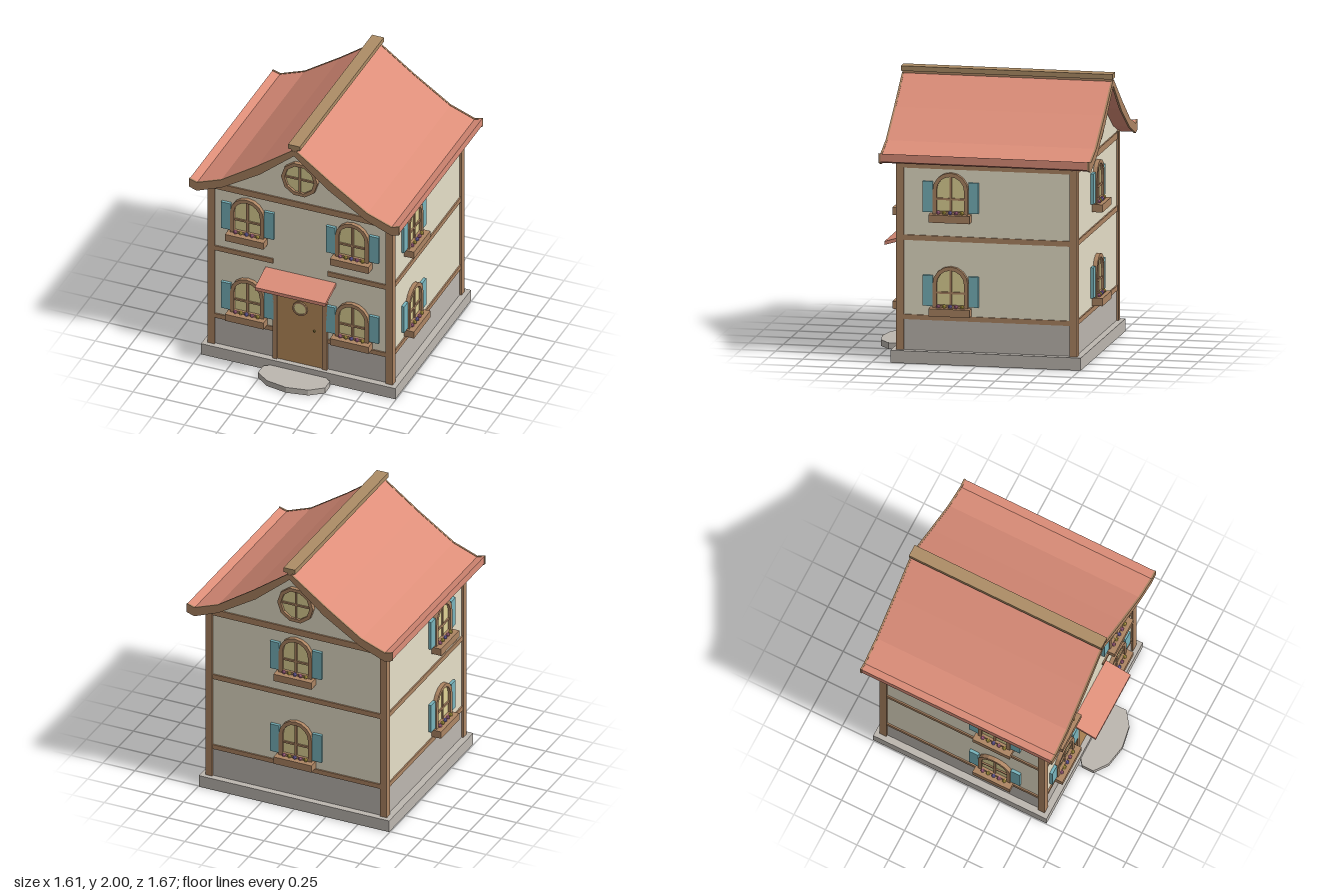
import * as THREE from 'three';

const mat = (color) => new THREE.MeshStandardMaterial({ color, flatShading: true });
const M = {
  plaster: mat(0xe6dfc8), timber: mat(0xad8563), stone: mat(0xbdb7b0), roof: mat(0xdd8e79),
  ridge: mat(0xad8d66), shutter: mat(0x78b4bc), door: mat(0xb98c5a), glass: mat(0xe0d396),
  metal: mat(0x8a7a40), pink: mat(0xc878a0), yellow: mat(0xd0b850), violet: mat(0x8878c8),
};
const HX = 0.695, HZ = 0.64, CZ = -0.07; // wall half sizes and house centre

function add(parent, name, geo, material, x = 0, y = 0, z = 0) {
  const m = new THREE.Mesh(geo, material);
  m.name = name;
  m.position.set(x, y, z);
  parent.add(m);
  return m;
}

// box given by its limits
function box(parent, name, material, x0, x1, y0, y1, z0, z1) {
  return add(parent, name, new THREE.BoxGeometry(x1 - x0, y1 - y0, z1 - z0), material,
    (x0 + x1) / 2, (y0 + y1) / 2, (z0 + z1) / 2);
}

const toShape = (pts) => new THREE.Shape(pts.map(([x, y]) => new THREE.Vector2(x, y)));

function extrude(pts, depth, holePts) {
  const s = toShape(pts);
  if (holePts) s.holes.push(toShape(holePts));
  return new THREE.ExtrudeGeometry(s, { depth, bevelEnabled: false });
}

// outline of an arched opening, sill at y = 0, arch springing at y = spring
function archPts(r, y0, spring, n = 8) {
  const p = [[-r, y0], [r, y0]];
  for (let i = 0; i <= n; i++) {
    const a = (i / n) * Math.PI;
    p.push([r * Math.cos(a), spring + r * Math.sin(a)]);
  }
  return p;
}

function ngon(r, n) {
  return Array.from({ length: n }, (_, i) => {
    const a = (i / n) * Math.PI * 2;
    return [r * Math.cos(a), r * Math.sin(a)];
  });
}

// arched window with shutters and flower box; wall plane is z = 0
function archedWindow() {
  const g = new THREE.Group();
  g.name = 'window';
  add(g, 'windowFrame', extrude(archPts(0.128, 0, 0.17), 0.03, archPts(0.1, 0.02, 0.17)), M.timber);
  add(g, 'windowPane', extrude(archPts(0.102, 0.01, 0.17), 0.01), M.glass);
  box(g, 'mullion', M.timber, -0.008, 0.008, 0.01, 0.27, 0, 0.02);
  box(g, 'crossbar', M.timber, -0.1, 0.1, 0.1, 0.115, 0, 0.02);
  for (const s of [-1, 1]) box(g, 'shutter', M.shutter, s * 0.165 - 0.036, s * 0.165 + 0.036, 0.01, 0.23, 0, 0.022);
  box(g, 'flowerBox', M.timber, -0.148, 0.148, -0.055, 0, 0, 0.075);
  [M.pink, M.yellow, M.violet, M.pink, M.yellow].forEach((m, i) =>
    add(g, 'flower', new THREE.IcosahedronGeometry(0.016, 0), m, (i - 2) * 0.043, 0.012, 0.036));
  return g;
}

// ring window with a pane; optional cross bars
function roundWindow(rOut, rIn, n, depth, bars) {
  const g = new THREE.Group();
  g.name = 'roundWindow';
  add(g, 'roundFrame', extrude(ngon(rOut, n), depth, ngon(rIn, n)), M.timber);
  add(g, 'roundPane', extrude(ngon(rIn + 0.003, n), depth * 0.4), M.glass);
  if (bars) {
    box(g, 'roundMullion', M.timber, -0.007, 0.007, -rIn, rIn, 0, depth * 0.7);
    box(g, 'roundCrossbar', M.timber, -rIn, rIn, -0.007, 0.007, 0, depth * 0.7);
  }
  return g;
}

function place(parent, g, x, y, z, rotY = 0) {
  g.position.set(x, y, z);
  g.rotation.y = rotY;
  parent.add(g);
}

export function createModel() {
  const house = new THREE.Group();
  house.name = 'house';
  const zF = CZ + HZ, zB = CZ - HZ;

  // plinth and doorstep
  box(house, 'plinth', M.stone, -0.745, 0.745, 0, 0.09, -0.758, 0.618);
  const step = add(house, 'doorstep', new THREE.CylinderGeometry(1, 1, 0.045, 10), M.stone, 0, 0.0225, 0.694);
  step.scale.set(0.27, 1, 0.146);

  // walls with gables
  box(house, 'stoneWall', M.stone, -HX, HX, 0.09, 0.325, zB, zF);
  const gable = [[-HX, 0.325], [HX, 0.325], [HX, 1.46], [0.555, 1.52], [0.265, 1.7], [0, 1.92],
    [-0.265, 1.7], [-0.555, 1.52], [-HX, 1.46]];
  add(house, 'plasterWall', extrude(gable, HZ * 2), M.plaster, 0, 0, zB);

  // corner posts
  for (const x of [-0.683, 0.683]) for (const z of [CZ - 0.628, CZ + 0.628])
    box(house, 'cornerPost', M.timber, x - 0.027, x + 0.027, 0.09, 1.45, z - 0.027, z + 0.027);

  // horizontal beams
  for (const [y0, y1, split] of [[0.31, 0.345, true], [0.88, 0.918, true], [1.4, 1.448, false]]) {
    for (const s of [-1, 1]) {
      const x = s * HX;
      box(house, 'sideBeam', M.timber, x - 0.01, x + 0.01, y0, y1, zB, zF);
      if (split) box(house, 'frontBeam', M.timber, s > 0 ? 0.21 : -0.67, s > 0 ? 0.67 : -0.21, y0, y1, zF - 0.01, zF + 0.01);
    }
    if (!split) box(house, 'frontBeam', M.timber, -0.67, 0.67, y0, y1, zF - 0.01, zF + 0.01);
    box(house, 'backBeam', M.timber, -0.67, 0.67, y0, y1, zB - 0.01, zB + 0.01);
  }

  // windows on both floors
  for (const y of [0.405, 1.08]) {
    for (const s of [-1, 1]) {
      place(house, archedWindow(), s * 0.402, y, zF);
      place(house, archedWindow(), s * HX, y, 0.19, s * Math.PI / 2);
    }
    place(house, archedWindow(), 0, y, zB, Math.PI);
  }
  place(house, roundWindow(0.14, 0.113, 10, 0.03, true), 0, 1.65, zF);
  place(house, roundWindow(0.14, 0.113, 10, 0.03, true), 0, 1.65, zB, Math.PI);

  // door, frame and canopy
  box(house, 'door', M.door, -0.175, 0.175, 0.09, 0.73, zF - 0.02, zF + 0.01);
  for (const s of [-1, 1]) box(house, 'doorPost', M.timber, s * 0.191 - 0.018, s * 0.191 + 0.018, 0.09, 0.75, zF - 0.02, zF + 0.022);
  box(house, 'doorLintel', M.timber, -0.209, 0.209, 0.73, 0.77, zF - 0.02, zF + 0.022);
  place(house, roundWindow(0.058, 0.046, 12, 0.012, false), 0, 0.555, zF + 0.01);
  add(house, 'doorHandle', new THREE.IcosahedronGeometry(0.011, 0), M.metal, 0.11, 0.395, zF + 0.016);
  const canopy = extrude([[0.56, 0.81], [0.765, 0.75], [0.765, 0.776], [0.56, 0.836]], 0.54);
  canopy.rotateY(-Math.PI / 2); // profile x becomes z
  add(house, 'doorCanopy', canopy, M.roof, 0.27, 0, 0);

  // swept roof: half profile mirrored about x = 0
  const top = [[0.02, 1.948], [0.285, 1.753], [0.56, 1.567], [0.745, 1.498], [0.805, 1.516]];
  const bottom = [[0.805, 1.447], [0.745, 1.428], [0.555, 1.503], [0.265, 1.685], [0, 1.91]];
  const roofPts = (dTop, dBottom, dx) => {
    const half = [...top.map(([x, y]) => [x, y - dTop]), ...bottom.map(([x, y]) => [x, y + dBottom])]
      .map(([x, y]) => [x > 0.8 ? x - dx : x, y]);
    const mirrored = half.slice(0, -1).reverse().map(([x, y]) => [-x, y]);
    return [...half, ...mirrored].reverse();
  };
  add(house, 'roofTiles', extrude(roofPts(0.003, 0.008, 0.002), 1.5), M.roof, 0, 0, CZ - 0.75);
  for (const z of [CZ - 0.762, CZ + 0.748])
    add(house, 'bargeboard', extrude(roofPts(0, 0, 0), 0.014), M.timber, 0, 0, z);
  box(house, 'ridgeNeck', M.timber, -0.02, 0.02, 1.92, 1.966, CZ - 0.76, CZ + 0.76);
  box(house, 'ridgeCap', M.ridge, -0.045, 0.045, 1.964, 2, CZ - 0.764, CZ + 0.764);

  return house;
}
